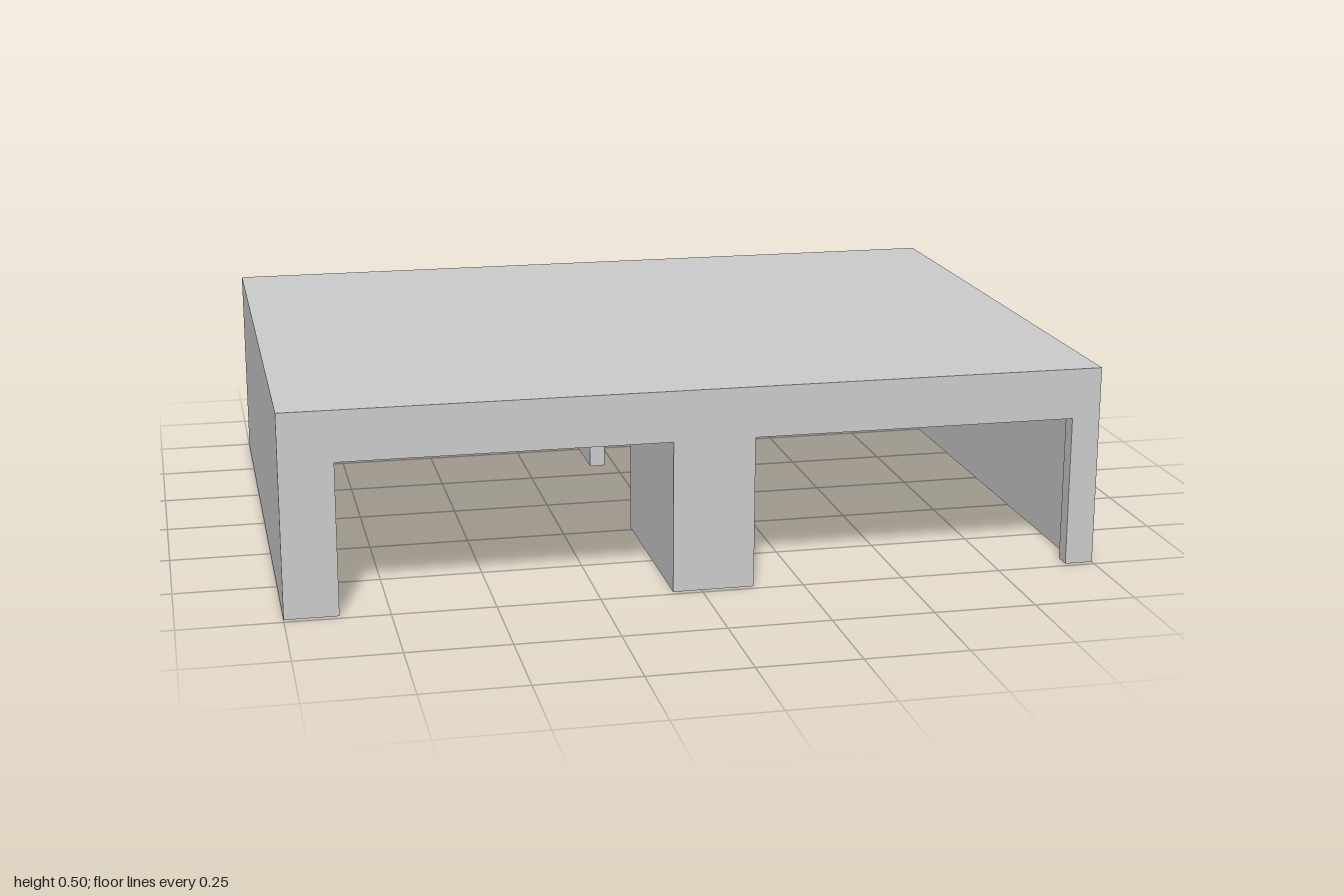
import * as THREE from 'three';

const W = 1;        // half width
const D = 0.735;    // half depth
const H = 0.5;      // total height
const T = 0.042;    // wall thickness
const CEIL = 0.455; // underside of the roof
const DOOR_H = 0.375;

const material = new THREE.MeshStandardMaterial({ color: 0xcccccc, flatShading: true });

// Box given by its minimum and maximum on each axis
function block(name, [x0, x1], [y0, y1], [z0, z1]) {
  const geometry = new THREE.BoxGeometry(x1 - x0, y1 - y0, z1 - z0);
  geometry.translate((x0 + x1) / 2, (y0 + y1) / 2, (z0 + z1) / 2);
  const mesh = new THREE.Mesh(geometry, material);
  mesh.name = name;
  return mesh;
}

// Front wall: outline that runs up and over each garage doorway
function frontWall() {
  const shape = new THREE.Shape();
  shape.moveTo(-W, 0);
  for (const [x0, x1] of [[-0.87, -0.07], [0.13, 0.93]]) {
    shape.lineTo(x0, 0);
    shape.lineTo(x0, DOOR_H);
    shape.lineTo(x1, DOOR_H);
    shape.lineTo(x1, 0);
  }
  shape.lineTo(W, 0);
  shape.lineTo(W, CEIL);
  shape.lineTo(-W, CEIL);
  shape.closePath();
  const geometry = new THREE.ExtrudeGeometry(shape, { depth: T, bevelEnabled: false });
  geometry.translate(0, 0, D - T);
  const mesh = new THREE.Mesh(geometry, material);
  mesh.name = 'frontWall';
  return mesh;
}

export function createModel() {
  const group = new THREE.Group();
  group.name = 'garage';
  const wallY = [0, CEIL];
  const insideZ = [-D + T, D - T];

  // Roof and outer walls
  group.add(
    block('roof', [-W, W], [CEIL, H], [-D, D]),
    frontWall(),
    block('backWall', [-W, W], wallY, [-D, -D + T]),
    block('leftWall', [W - T, W], wallY, insideZ),
    block('rightWall', [-W, -W + T], wallY, insideZ)
  );

  // Dividing wall between the two bays, with a gap in the middle
  const dividerX = [-0.07, -0.028];
  group.add(
    block('frontPartition', dividerX, wallY, [0.23, D - T]),
    block('backPartition', dividerX, wallY, [-D + T, -0.33])
  );
  return group;
}
